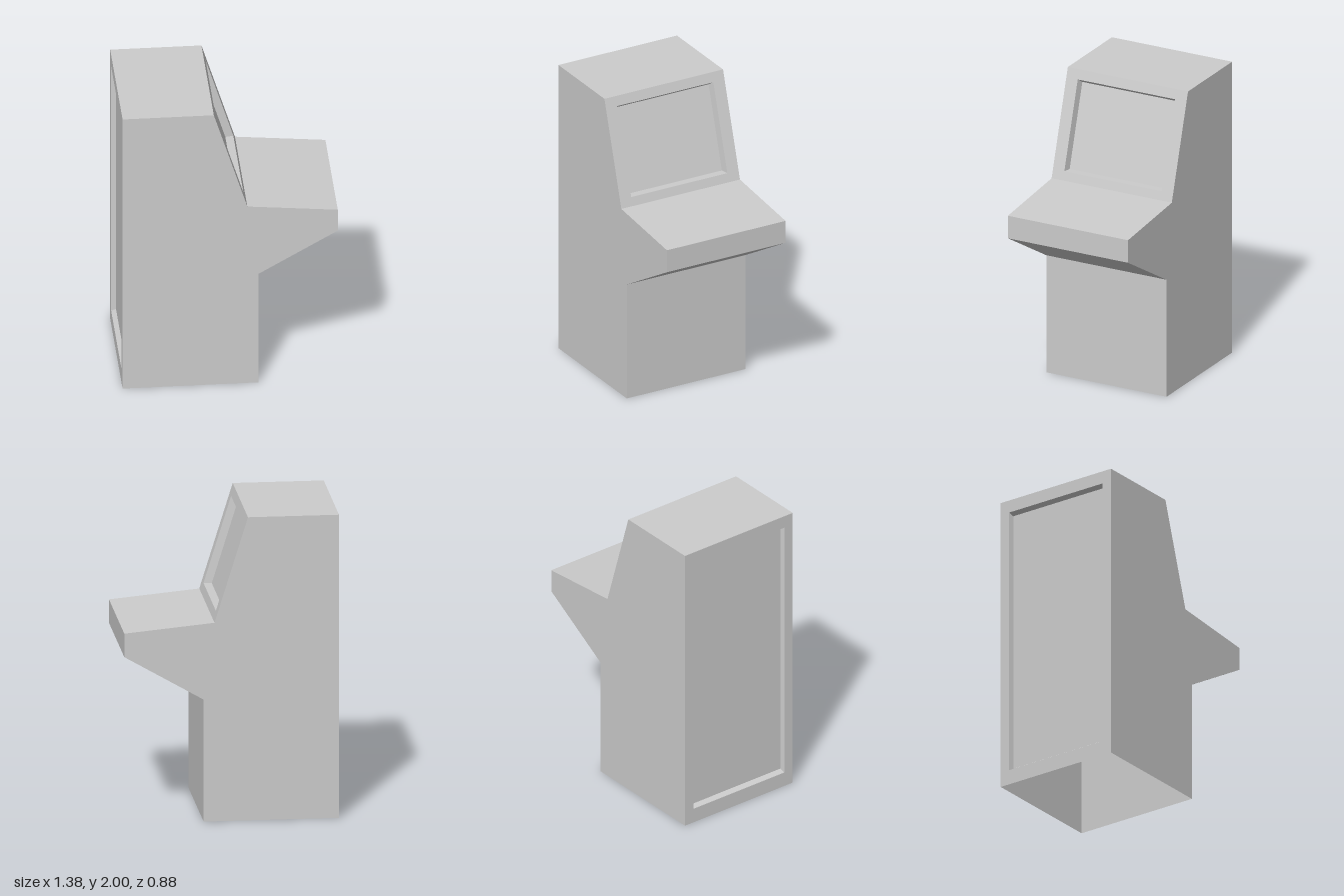
import * as THREE from 'three';

const DEPTH = 0.876; // cabinet size along z
const material = new THREE.MeshStandardMaterial({ color: 0xcccccc, side: THREE.DoubleSide });

function part(name, geometry) {
  const mesh = new THREE.Mesh(geometry, material);
  mesh.name = name;
  return mesh;
}

// Side outline, counter-clockwise; each entry starts the panel named with it.
// The underside (first edge) is open.
const outline = [
  { at: [-0.69, 0], name: null },
  { at: [0.18, 0], name: 'lowerFront' },
  { at: [0.18, 0.805], name: 'consoleUnderside' },
  { at: [0.69, 1.1], name: 'consoleEdge' },
  { at: [0.69, 1.255], name: 'consoleTop' },
  {
    at: [0.11, 1.31], name: 'screen',
    recess: { half: 0.355, start: 0.06, end: 0.066, depth: 0.05, insetX: 0.01, insetY: 0.0155 },
  },
  { at: [-0.105, 2], name: 'roof' },
  {
    at: [-0.69, 2], name: 'backDoor',
    recess: { half: 0.37, start: 0.085, end: 0.1, depth: 0.03, insetX: 0.01, insetY: 0.018 },
  },
].map((e) => ({ ...e, at: new THREE.Vector2(...e.at) }));

function rectangle(half, y0, y1) {
  return [[-half, y0], [half, y0], [half, y1], [-half, y1]].map((p) => new THREE.Vector2(...p));
}

// Four sloping walls between an opening and the smaller rectangle behind it
function pocketWalls(outer, inner, depth) {
  const positions = [];
  for (let i = 0; i < 4; i++) {
    const j = (i + 1) % 4;
    const a = [outer[i].x, outer[i].y, 0];
    const b = [outer[j].x, outer[j].y, 0];
    const c = [inner[j].x, inner[j].y, -depth];
    const d = [inner[i].x, inner[i].y, -depth];
    positions.push(...a, ...b, ...c, ...a, ...c, ...d);
  }
  const geometry = new THREE.BufferGeometry();
  geometry.setAttribute('position', new THREE.Float32BufferAttribute(positions, 3));
  geometry.computeVertexNormals();
  return geometry;
}

// Flat panel spanning one outline edge, with an optional recessed centre
function edgePanel(name, from, to, recess) {
  const length = from.distanceTo(to);
  const group = new THREE.Group();
  group.name = name;
  const face = new THREE.Shape(rectangle(DEPTH / 2, 0, length));

  if (recess) {
    const { half, start, end, depth, insetX, insetY } = recess;
    const outer = rectangle(half, start, length - end);
    const inner = rectangle(half - insetX, start + insetY, length - end - insetY);
    face.holes.push(new THREE.Path(outer));
    group.add(part(name + 'Rim', pocketWalls(outer, inner, depth)));
    const surface = part(name + 'Surface', new THREE.ShapeGeometry(new THREE.Shape(inner)));
    surface.position.z = -depth;
    group.add(surface);
  }
  group.add(part(name + (recess ? 'Frame' : 'Panel'), new THREE.ShapeGeometry(face)));

  // Local y runs along the edge, local z points outwards
  const u = to.clone().sub(from).normalize();
  const basis = new THREE.Matrix4().makeBasis(
    new THREE.Vector3(0, 0, -1),
    new THREE.Vector3(u.x, u.y, 0),
    new THREE.Vector3(u.y, -u.x, 0),
  );
  group.quaternion.setFromRotationMatrix(basis);
  group.position.set(from.x, from.y, 0);
  return group;
}

export function createModel() {
  const cabinet = new THREE.Group();
  cabinet.name = 'arcadeCabinet';

  // Side walls
  const sideShape = new THREE.Shape(outline.map((e) => e.at));
  for (const side of [1, -1]) {
    const wall = part(side > 0 ? 'sideWallFront' : 'sideWallRear', new THREE.ShapeGeometry(sideShape));
    if (side < 0) {
      // Reverse the triangles so the far wall faces outwards
      wall.geometry.index.array.reverse();
      wall.geometry.computeVertexNormals();
    }
    wall.position.z = (side * DEPTH) / 2;
    cabinet.add(wall);
  }

  // Panels around the outline
  outline.forEach(({ at, name, recess }, i) => {
    if (name) cabinet.add(edgePanel(name, at, outline[(i + 1) % outline.length].at, recess));
  });

  return cabinet;
}
